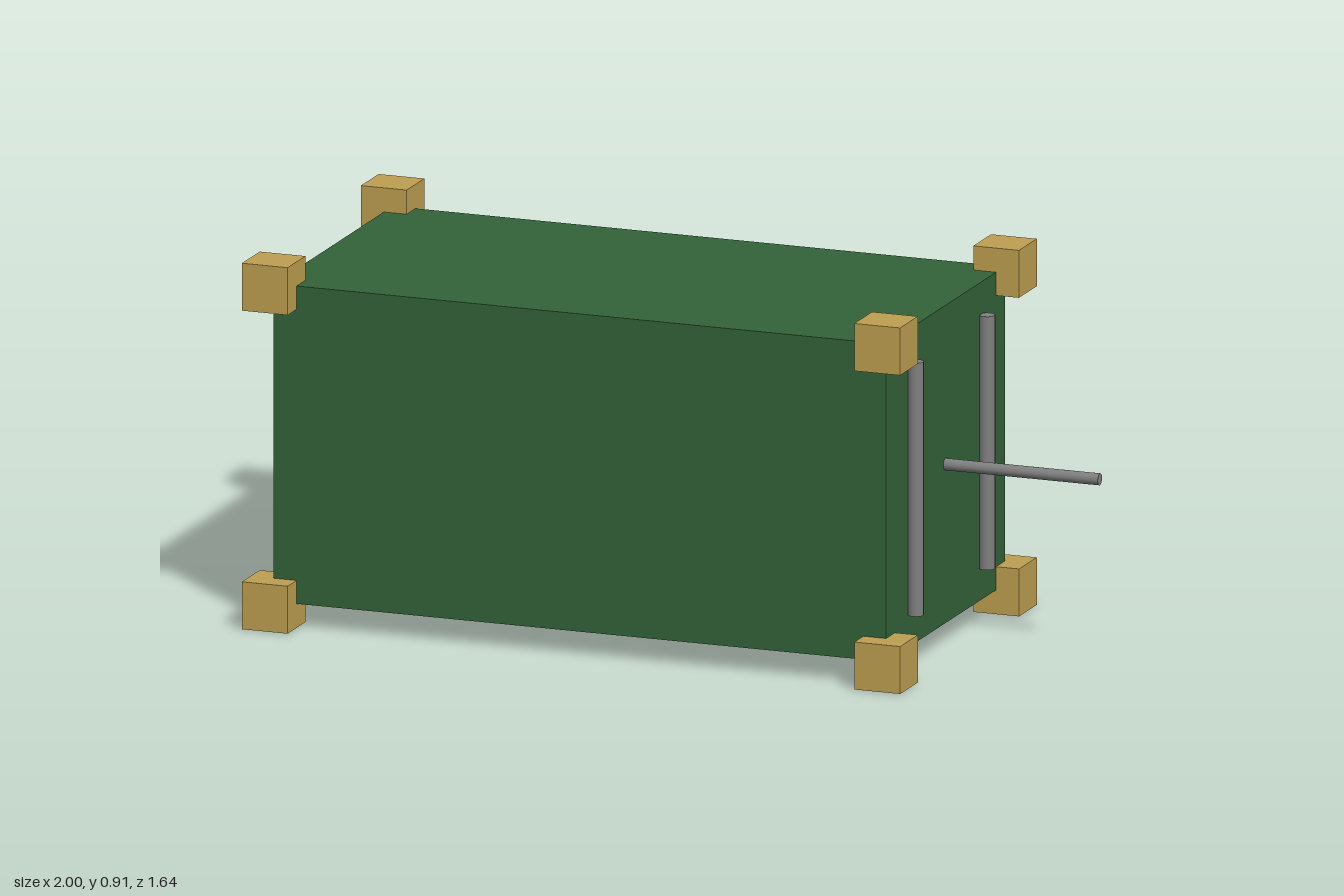
import * as THREE from 'three';

const LENGTH = 1.58, SIDE = 0.79, BLOCK = 0.118;
const MID = 0.455; // height of the centre

export function createModel() {
  const model = new THREE.Group();
  const green = new THREE.MeshStandardMaterial({ color: 0x336339 });
  const brass = new THREE.MeshStandardMaterial({ color: 0xbd9f50 });
  const steel = new THREE.MeshStandardMaterial({ color: 0x808080 });

  // The whole crate is turned 30 degrees about the vertical
  const crate = new THREE.Group();
  crate.name = 'crate';
  crate.rotation.y = Math.PI / 6;
  crate.position.set(-0.0375, MID, -0.0025);
  model.add(crate);

  const add = (name, geometry, material, x, y, z) => {
    const mesh = new THREE.Mesh(geometry, material);
    mesh.name = name;
    mesh.position.set(x, y, z);
    crate.add(mesh);
    return mesh;
  };

  add('body', new THREE.BoxGeometry(LENGTH, SIDE, SIDE), green, 0, 0, 0);

  // Cubes centred on the eight corners
  const block = new THREE.BoxGeometry(BLOCK, BLOCK, BLOCK);
  for (const x of [-1, 1])
    for (const y of [-1, 1])
      for (const z of [-1, 1])
        add('cornerBlock', block, brass, x * LENGTH / 2, y * (MID - BLOCK / 2), z * SIDE / 2);

  // Two upright lock rods on the end face
  const rod = new THREE.CylinderGeometry(0.02, 0.02, 0.63, 12);
  for (const z of [-1, 1]) add('lockRod', rod, steel, LENGTH / 2 + 0.015, 0, z * 0.237);

  // Handle sticking straight out of the end face
  const handle = new THREE.CylinderGeometry(0.015, 0.015, 0.41, 12);
  add('handle', handle, steel, 0.983, 0, 0).rotation.z = Math.PI / 2;

  return model;
}
